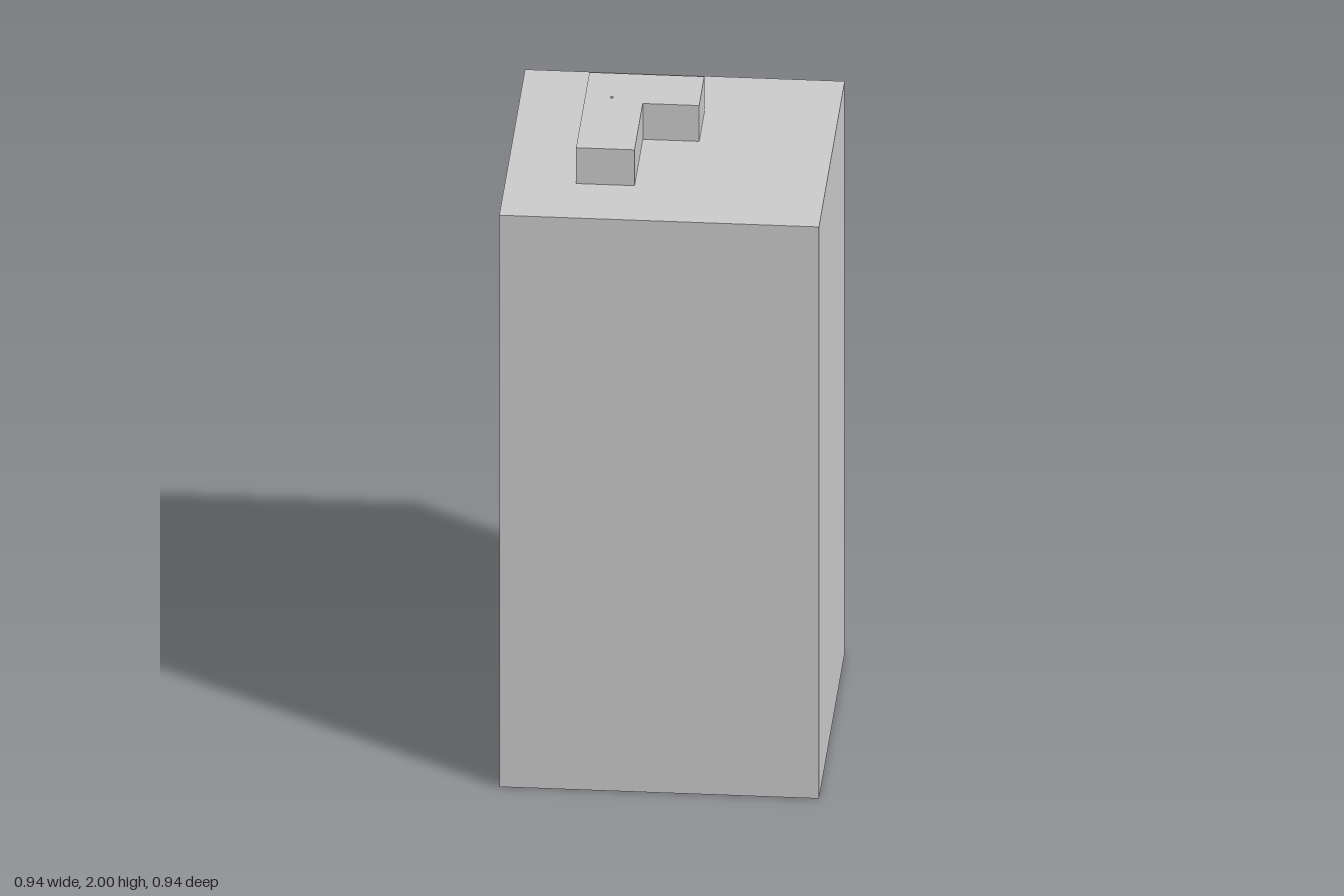
import * as THREE from 'three';

export function createModel() {
  const model = new THREE.Group();
  const material = new THREE.MeshStandardMaterial({ color: 0xcccccc, flatShading: true });
  const add = (name, geometry) => {
    const mesh = new THREE.Mesh(geometry, material);
    mesh.name = name;
    model.add(mesh);
    return mesh;
  };

  const width = 0.94, roofY = 1.882, height = 2;

  // Main square tower
  add('tower', new THREE.BoxGeometry(width, roofY, width)).position.y = roofY / 2;

  // L-shaped rooftop block, drawn in plan as [x, z]
  const plan = [[-0.262, 0.249], [-0.09, 0.249], [-0.09, -0.05],
    [0.076, -0.05], [0.076, -0.237], [-0.262, -0.237]];
  const outline = new THREE.Shape(plan.map(([x, z]) => new THREE.Vector2(x, -z)));

  // Tiny round vent hole in the rooftop block
  const vent = new THREE.Path();
  vent.absarc(-0.184, 0.083, 0.005, 0, Math.PI * 2, true);
  outline.holes.push(vent);

  const block = new THREE.ExtrudeGeometry(outline, {
    depth: height - roofY, bevelEnabled: false, curveSegments: 12,
  });
  block.rotateX(-Math.PI / 2);
  add('rooftopBlock', block).position.y = roofY;

  return model;
}
